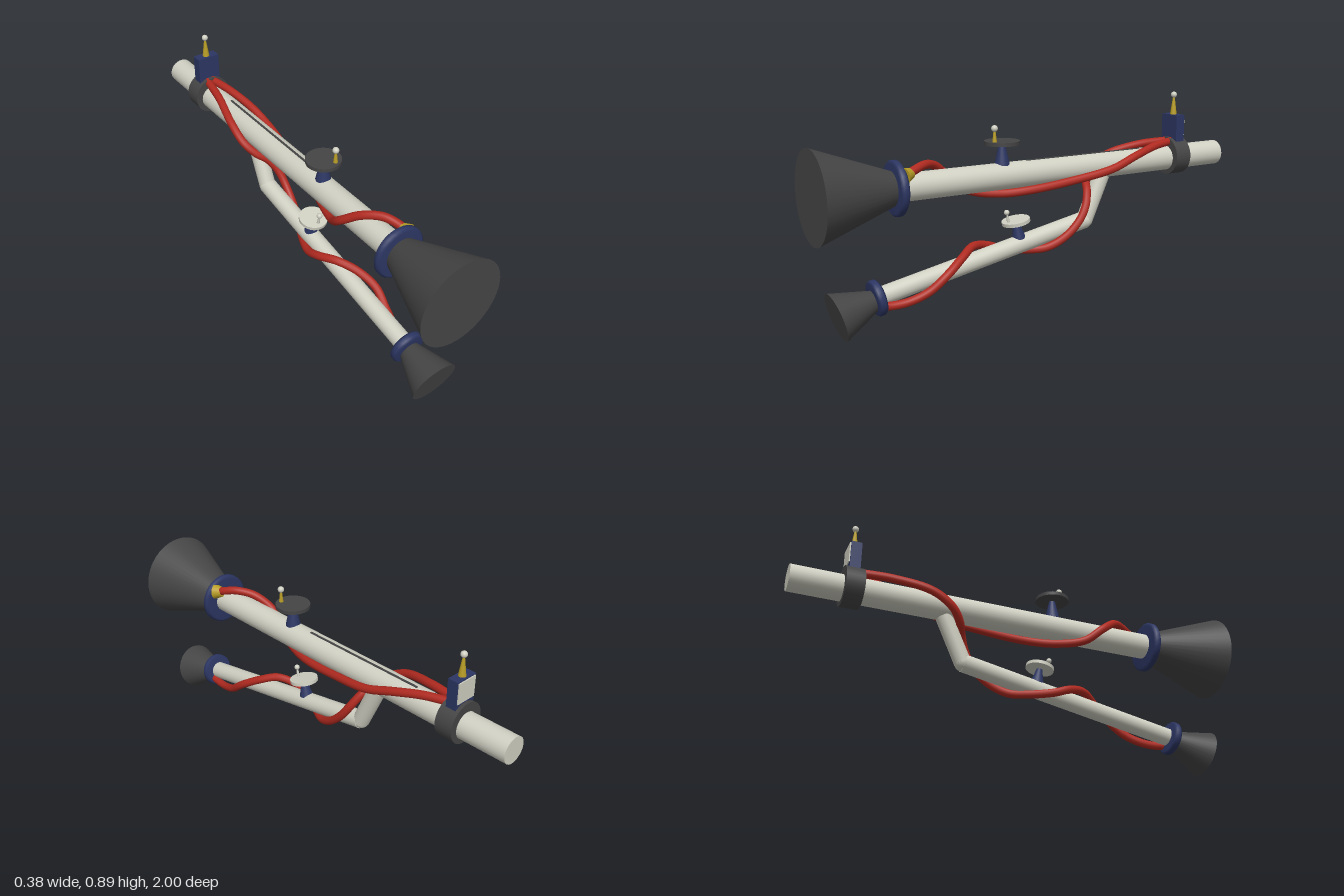
import * as THREE from 'three';

const mat = (name, color) => {
  const m = new THREE.MeshStandardMaterial({ color });
  m.name = name;
  return m;
};

export function createModel() {
  const white = mat('offWhite', 0xcfcfc2);
  const dark = mat('charcoal', 0x454545);
  const navy = mat('navy', 0x2c3663);
  const red = mat('red', 0xb02a20);
  const gold = mat('gold', 0xb89d26);
  const model = new THREE.Group();
  model.name = 'twinTubeLauncher';

  const V = (x, y, z) => new THREE.Vector3(x, y, z);
  const add = (name, geo, material, pos) => {
    const m = new THREE.Mesh(geo, material);
    m.name = name;
    if (pos) m.position.copy(pos);
    model.add(m);
    return m;
  };
  // Round bar or cone from point a (radius ra) to point b (radius rb)
  const bar = (name, a, b, ra, rb, material, sides = 32) => {
    const dir = b.clone().sub(a);
    const m = add(name, new THREE.CylinderGeometry(rb, ra, dir.length(), sides), material,
      a.clone().add(b).multiplyScalar(0.5));
    m.quaternion.setFromUnitVectors(V(0, 1, 0), dir.normalize());
    return m;
  };
  const ball = (name, p, r) => add(name, new THREE.SphereGeometry(r, 16, 12), white, p);
  // Bevelled collar centred on p and facing dir
  const collar = (name, p, dir, r, t) => {
    const h = t / 2;
    const profile = [[0, -h], [r * 0.9, -h], [r, -h * 0.5], [r, h * 0.5], [r * 0.9, h], [0, h]]
      .map(([x, y]) => new THREE.Vector2(x, y));
    const m = add(name, new THREE.LatheGeometry(profile, 32), navy, p);
    m.quaternion.setFromUnitVectors(V(0, 1, 0), dir.clone().normalize());
  };
  const hose = (name, pts) => {
    const curve = new THREE.CatmullRomCurve3(pts.map(p => V(...p)));
    add(name, new THREE.TubeGeometry(curve, 120, 0.018, 12), red);
  };

  // Main tube with its muzzle horn and collar
  const Y = 0.592;
  bar('mainTube', V(0, Y, -1), V(0, Y, 0.68), 0.057, 0.057, white);
  bar('mainHorn', V(0, Y, 0.665), V(0, Y, 1), 0.068, 0.19, dark, 40);
  collar('mainCollar', V(0, Y, 0.658), V(0, 0, 1), 0.113, 0.036);
  add('topSlot', new THREE.BoxGeometry(0.01, 0.006, 0.6), dark, V(0.004, 0.648, -0.24));

  // Lower tube, bent up into the main tube
  const bend = V(0, 0.35, -0.245);
  const lowerEnd = V(0, 0.157, 0.754);
  const axis = lowerEnd.clone().sub(bend).normalize();
  bar('lowerTube', bend, lowerEnd, 0.039, 0.039, white);
  bar('lowerStrut', bend, V(0, 0.548, -0.335), 0.037, 0.037, white);
  ball('bendJoint', bend, 0.037);
  collar('lowerCollar', lowerEnd, axis, 0.075, 0.036);
  bar('lowerHorn', V(0, 0.148, 0.765), V(0, 0.104, 0.924), 0.043, 0.104, dark);

  // Rear clamp with control box, back panel and aerial
  bar('rearClamp', V(0, 0.601, -0.78), V(0, 0.601, -0.7), 0.087, 0.087, dark);
  add('controlBox', new THREE.BoxGeometry(0.104, 0.125, 0.046), navy, V(0, 0.73, -0.742));
  add('boxBackPanel', new THREE.BoxGeometry(0.094, 0.09, 0.006), white, V(0, 0.742, -0.767));
  bar('rearAerial', V(0, 0.79, -0.742), V(0, 0.875, -0.742), 0.016, 0.004, gold, 12);
  ball('rearAerialTip', V(0, 0.883, -0.742), 0.014);

  // Upper dish
  bar('upperDishStand', V(0, 0.64, 0.176), V(0, 0.732, 0.176), 0.033, 0.013, navy, 20);
  bar('upperDish', V(0, 0.727, 0.176), V(0, 0.743, 0.176), 0.075, 0.075, dark);
  bar('upperDishAerial', V(0.024, 0.742, 0.224), V(0.024, 0.794, 0.224), 0.01, 0.004, gold, 12);
  ball('upperDishTip', V(0.024, 0.8, 0.224), 0.014);

  // Lower dish, square to the lower tube
  const up = V(0, axis.z, -axis.y);
  const base = V(0, 0.312, 0.096);
  const at = d => base.clone().addScaledVector(up, d);
  bar('lowerDishStand', at(0), at(0.075), 0.03, 0.012, navy, 20);
  bar('lowerDish', at(0.071), at(0.086), 0.062, 0.062, white);
  const stem = at(0.084).addScaledVector(axis, 0.036);
  const stemTop = stem.clone().addScaledVector(up, 0.045);
  bar('lowerDishAerial', stem, stemTop, 0.007, 0.003, white, 12);
  ball('lowerDishTip', stemTop, 0.012);

  // Hoses winding round the tubes
  bar('hoseFitting', V(0.045, 0.655, 0.61), V(0.058, 0.65, 0.645), 0.022, 0.034, gold, 20);
  hose('mainHose', [
    [0.056, 0.648, 0.645], [0.045, 0.664, 0.6], [0.015, 0.677, 0.54], [-0.035, 0.66, 0.47],
    [-0.073, 0.6, 0.39], [-0.05, 0.538, 0.31], [-0.01, 0.517, 0.19], [0.03, 0.524, 0.06],
    [0.06, 0.55, -0.15], [0.08, 0.585, -0.34], [0.068, 0.627, -0.47], [0.04, 0.658, -0.6],
    [0.012, 0.67, -0.72],
  ]);
  hose('lowerHose', [
    [-0.012, 0.67, -0.72], [-0.04, 0.66, -0.57], [-0.075, 0.62, -0.41], [-0.07, 0.565, -0.32],
    [-0.035, 0.52, -0.275], [0.01, 0.483, -0.25], [0.045, 0.425, -0.22], [0.056, 0.365, -0.18],
    [0.05, 0.3, -0.11], [0.025, 0.258, -0.03], [-0.015, 0.25, 0.05], [-0.053, 0.26, 0.15],
    [-0.055, 0.286, 0.225], [-0.02, 0.301, 0.31], [0.03, 0.275, 0.385], [0.066, 0.225, 0.47],
    [0.06, 0.165, 0.55], [0.045, 0.133, 0.63], [0.035, 0.125, 0.7], [0.03, 0.13, 0.75],
  ]);

  return model;
}
